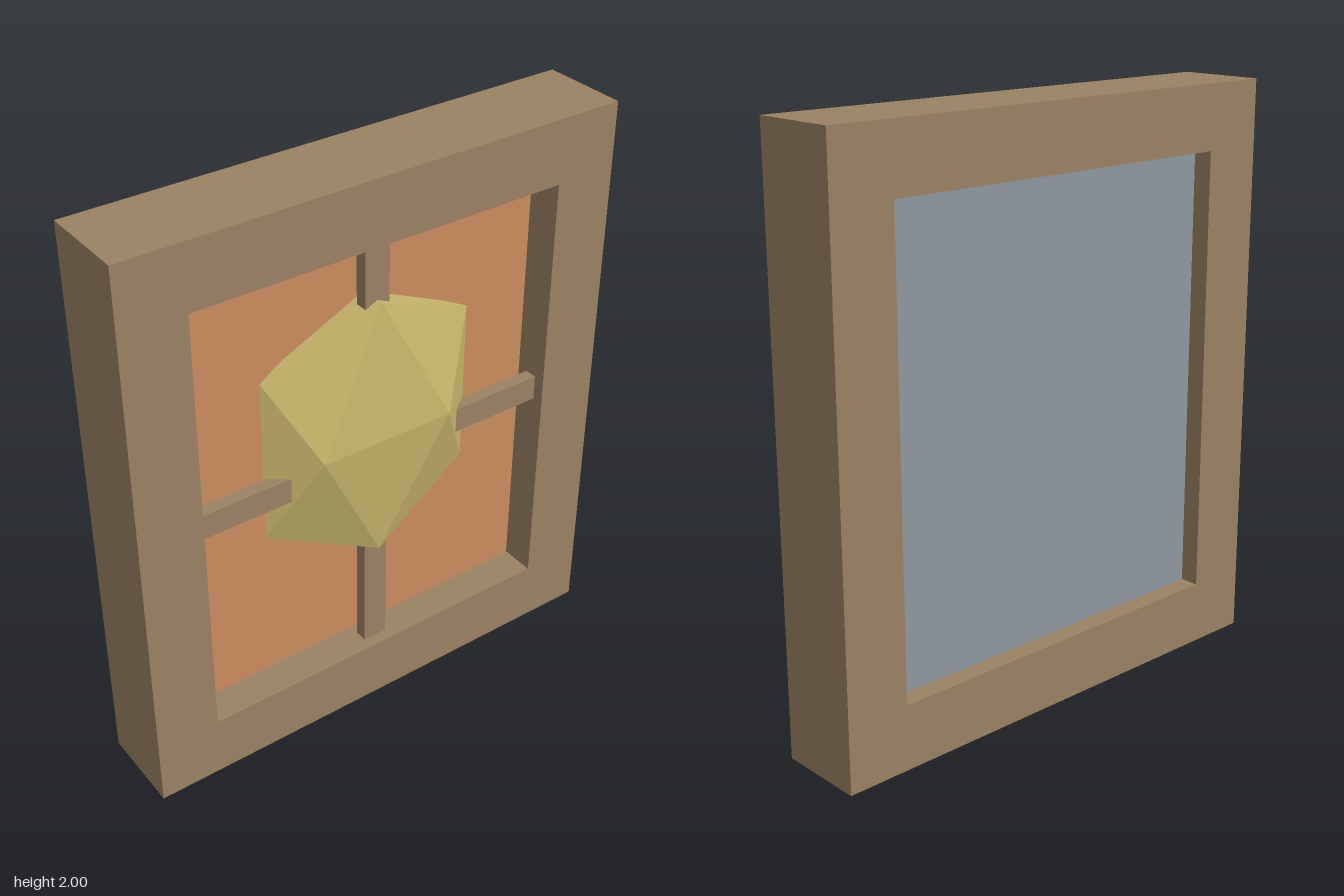
import * as THREE from 'three';

const material = (name, color, flatShading = false) => {
  const m = new THREE.MeshStandardMaterial({ color, flatShading });
  m.name = name;
  return m;
};

export function createModel() {
  const model = new THREE.Group();
  model.name = 'framedWindow';

  const wood = material('wood', 0x9b8262);
  const amber = material('amberPane', 0xc98d5f);
  const grey = material('greyGlass', 0x8f979f);
  const gold = material('goldGem', 0xc8b56a, true);

  const add = (name, geometry, mat, x, y, z) => {
    const mesh = new THREE.Mesh(geometry, mat);
    mesh.name = name;
    mesh.position.set(x, y, z);
    model.add(mesh);
    return mesh;
  };
  // Box spanning z0..z1, centred on x = 0 and the given height
  const slab = (name, w, h, z0, z1, mat, y = 1) =>
    add(name, new THREE.BoxGeometry(w, h, z1 - z0), mat, 0, y, (z0 + z1) / 2);

  // Outer frame with a rectangular opening
  const rect = (Type, w, h) => new Type([
    new THREE.Vector2(-w / 2, -h / 2), new THREE.Vector2(w / 2, -h / 2),
    new THREE.Vector2(w / 2, h / 2), new THREE.Vector2(-w / 2, h / 2),
  ]);
  const outline = rect(THREE.Shape, 1.778, 2);
  outline.holes.push(rect(THREE.Path, 1.334, 1.556));
  add('frame', new THREE.ExtrudeGeometry(outline, { depth: 0.307, bevelEnabled: false }),
    wood, 0, 1, -0.166);

  // Grey backing glass fills the opening; the amber pane sits a little inside it
  slab('backGlass', 1.334, 1.556, -0.098, -0.01, grey);
  slab('frontPane', 1.308, 1.53, -0.01, 0.03, amber);

  // Crossing bars, which run behind the gem
  slab('verticalBar', 0.089, 1.556, 0.055, 0.1, wood);
  slab('horizontalBar', 1.334, 0.089, 0.055, 0.1, wood);

  // Flattened twenty-sided gem, a horizontal edge facing the front
  const gem = new THREE.IcosahedronGeometry(1, 0);
  gem.rotateZ(Math.PI / 2);
  gem.scale(0.464, 0.557, 0.141);
  add('gem', gem, gold, 0, 1.1, 0.046);

  return model;
}
